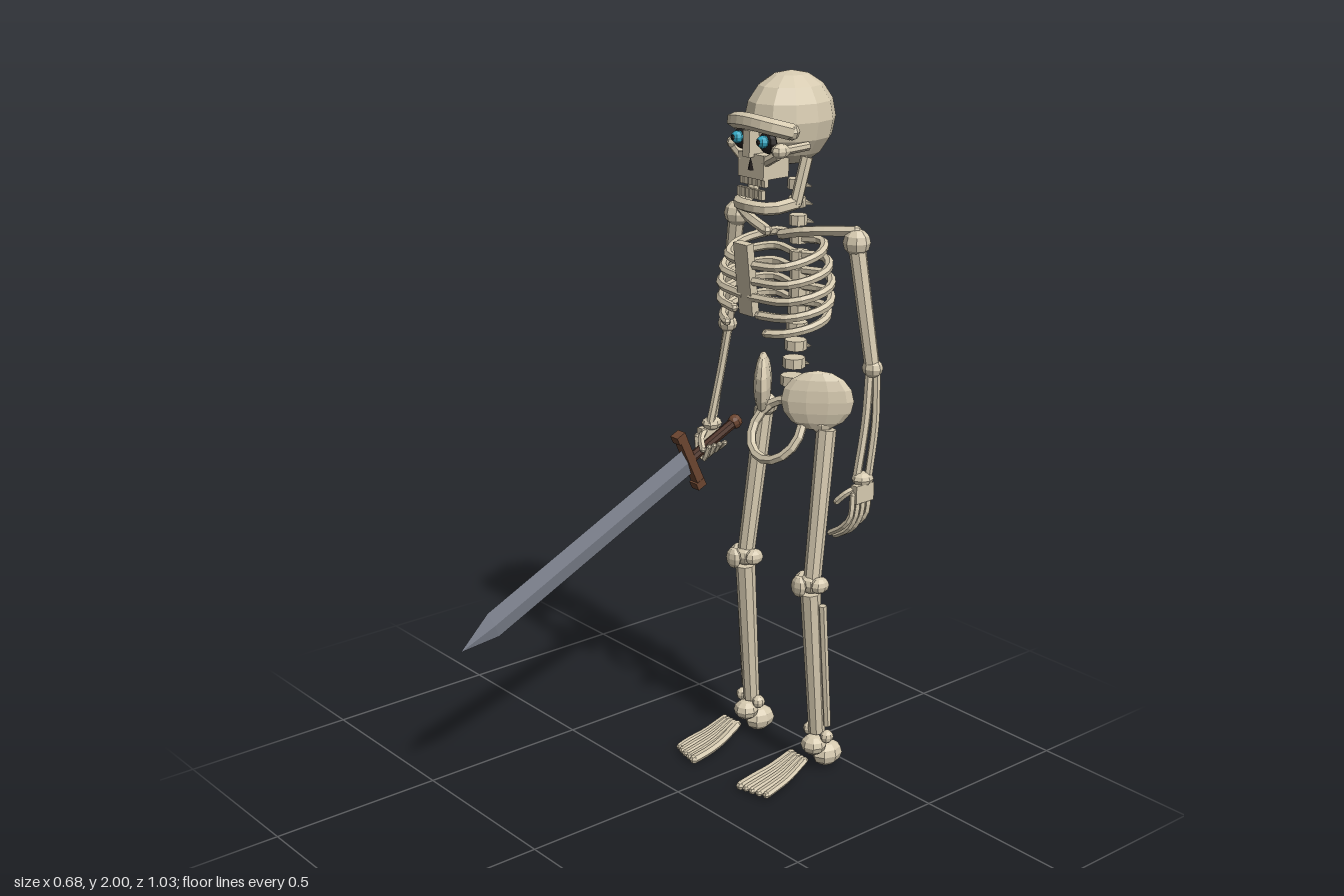
import * as THREE from 'three';

const mat = (name, color, opts = {}) => {
  const m = new THREE.MeshStandardMaterial({ color, flatShading: true, ...opts });
  m.name = name;
  return m;
};
const BONE = mat('bone', 0xd6cab0);
const DARK = mat('socket dark', 0x231f1e);
const EYE = mat('eye blue', 0x35a9c4);
const STEEL = mat('steel', 0x7d828e);
const WOOD = mat('guard brown', 0x6b4530);
const GRIP = mat('grip brown', 0x4a2e22);
const V = (x, y, z) => new THREE.Vector3(x, y, z);

export function createModel() {
  const root = new THREE.Group();
  const add = (parent, name, geo, material = BONE) => {
    const m = new THREE.Mesh(geo, material);
    m.name = name;
    parent.add(m);
    return m;
  };
  const group = (name) => {
    const g = new THREE.Group();
    g.name = name;
    root.add(g);
    return g;
  };
  // Straight shaft between two points
  const shaft = (parent, name, a, b, r0, r1 = r0, sides = 7, material = BONE) => {
    const d = b.clone().sub(a);
    const m = add(parent, name, new THREE.CylinderGeometry(r1, r0, d.length(), sides), material);
    m.position.copy(a).add(b).multiplyScalar(0.5);
    m.quaternion.setFromUnitVectors(V(0, 1, 0), d.normalize());
    return m;
  };
  // Faceted ball or ellipsoid
  const ball = (parent, name, p, rx, ry = rx, rz = rx, material = BONE, ws = 8, hs = 6) => {
    const m = add(parent, name, new THREE.SphereGeometry(1, ws, hs), material);
    m.position.copy(p);
    m.scale.set(rx, ry, rz);
    return m;
  };
  const tube = (parent, name, pts, r, segs = 8, sides = 6) => {
    const g = add(parent, name, new THREE.TubeGeometry(new THREE.CatmullRomCurve3(pts), segs, r, sides));
    for (const p of [pts[0], pts[pts.length - 1]]) ball(g, name + 'End', p, r, r, r, BONE, 6, 4);
    return g;
  };
  const box = (parent, name, p, w, h, d, material = BONE) => {
    const m = add(parent, name, new THREE.BoxGeometry(w, h, d), material);
    m.position.copy(p);
    return m;
  };

  // Skull
  const skull = group('skull');
  ball(skull, 'cranium', V(0, 1.875, -0.385), 0.11, 0.125, 0.132, BONE, 12, 8);
  const brow = tube(skull, 'brow', [V(-0.1, 1.858, -0.3), V(-0.075, 1.872, -0.255), V(0, 1.88, -0.238),
    V(0.075, 1.872, -0.255), V(0.1, 1.858, -0.3)], 0.022, 10);
  brow.scale.z = 1;
  box(skull, 'noseBone', V(0, 1.822, -0.255), 0.026, 0.07, 0.05);
  box(skull, 'upperJaw', V(0, 1.762, -0.292), 0.1, 0.065, 0.09);
  const nose = add(skull, 'noseHole', new THREE.ConeGeometry(0.017, 0.034, 3), DARK);
  nose.position.set(0, 1.768, -0.246);
  nose.scale.z = 0.3;
  for (let i = 0; i < 6; i++) {
    const x = (i - 2.5) * 0.017;
    box(skull, 'upperTooth', V(x, 1.722, -0.26), 0.013, 0.025, 0.014);
    box(skull, 'lowerTooth', V(x, 1.69, -0.25), 0.013, 0.025, 0.014);
  }
  tube(skull, 'lowerJaw', [V(-0.085, 1.665, -0.33), V(-0.065, 1.655, -0.265), V(0, 1.655, -0.243),
    V(0.065, 1.655, -0.265), V(0.085, 1.665, -0.33)], 0.018, 10);
  for (const s of [1, -1]) {
    ball(skull, 'eyeSocket', V(s * 0.05, 1.828, -0.262), 0.034, 0.03, 0.016, DARK);
    ball(skull, 'eye', V(s * 0.05, 1.832, -0.244), 0.018, 0.017, 0.018, EYE);
    ball(skull, 'pupil', V(s * 0.05, 1.832, -0.227), 0.008, 0.008, 0.004, DARK, 6, 4);
    ball(skull, 'cheekbone', V(s * 0.088, 1.81, -0.272), 0.022, 0.02, 0.028);
    shaft(skull, 'cheekArch', V(s * 0.09, 1.81, -0.28), V(s * 0.098, 1.815, -0.36), 0.012);
    shaft(skull, 'cheekRidge', V(s * 0.085, 1.8, -0.265), V(s * 0.04, 1.775, -0.26), 0.014);
    shaft(skull, 'jawBranch', V(s * 0.086, 1.66, -0.33), V(s * 0.092, 1.785, -0.362), 0.017);
  }

  // Spine
  const spine = group('spine');
  for (let i = 0; i < 12; i++) {
    const y = 1.695 - i * 0.05, r = 0.023 + i * 0.0009;
    const z = -0.41 - 0.02 * Math.sin(i * Math.PI / 11);
    shaft(spine, 'vertebra', V(0, y - 0.014, z), V(0, y + 0.014, z), r, r, 8);
    shaft(spine, 'spinousProcess', V(0, y, z - 0.012), V(0, y - 0.016, z - 0.058), 0.013, 0.002, 5);
  }

  // Rib cage
  const cage = group('ribCage');
  const sternum = box(cage, 'breastbone', V(0, 1.46, -0.236), 0.055, 0.2, 0.024);
  sternum.rotation.x = 0.12;
  [0.14, 0.165, 0.178, 0.178, 0.165].forEach((w, i) => {
    const y = 1.545 - i * 0.044, end = i < 3 ? 0.02 : 0.05 + 0.03 * (i - 3);
    for (const s of [1, -1]) {
      tube(cage, 'rib', [V(s * 0.015, y, -0.425), V(s * w * 0.6, y + 0.004, -0.433), V(s * w * 0.95, y - 0.01, -0.385),
        V(s * w, y - 0.025, -0.32), V(s * w * 0.75, y - 0.04, -0.262), V(s * end, y - 0.044, -0.238)], 0.0125, 14);
    }
  });

  // Pelvis
  const pelvis = group('pelvis');
  const ring = add(pelvis, 'pelvicRing', new THREE.TorusGeometry(0.09, 0.014, 6, 16));
  ring.position.set(0, 1.01, -0.355);
  ring.rotation.x = -0.58;
  ball(pelvis, 'sacrum', V(0, 1.08, -0.45), 0.042, 0.075, 0.034).rotation.x = 0.3;
  for (const s of [1, -1]) {
    const wing = ball(pelvis, 'hipWing', V(s * 0.112, 1.112, -0.402), 0.1, 0.086, 0.026, BONE, 10, 8);
    wing.rotation.y = s * Math.PI / 4;
  }

  // Arms and legs, mirrored
  for (const s of [1, -1]) {
    const side = s > 0 ? 'left' : 'right';
    const P = (x, y, z) => V(s * x, y, z);

    const arm = group(side + 'Arm');
    tube(arm, 'collarbone', [P(0.03, 1.572, -0.335), P(0.11, 1.592, -0.345), P(0.235, 1.605, -0.41)], 0.015);
    ball(arm, 'shoulder', P(0.238, 1.575, -0.41), 0.037);
    shaft(arm, 'upperArm', P(0.294, 1.25, -0.425), P(0.24, 1.565, -0.41), 0.021, 0.024);
    ball(arm, 'elbow', P(0.294, 1.242, -0.427), 0.03, 0.026, 0.027);
    tube(arm, 'innerForearm', [P(0.286, 1.235, -0.425), P(0.297, 1.1, -0.405), P(0.303, 0.95, -0.372)], 0.012);
    tube(arm, 'outerForearm', [P(0.303, 1.235, -0.433), P(0.316, 1.1, -0.422), P(0.32, 0.95, -0.398)], 0.011);
    ball(arm, 'wrist', P(0.312, 0.945, -0.385), 0.028, 0.02, 0.032);
    box(arm, 'palm', P(0.32, 0.91, -0.378), 0.022, 0.05, 0.065);
    for (let i = 0; i < 4; i++) {
      const z = -0.402 + i * 0.02, drop = 0.012 * Math.abs(i - 1.5);
      tube(arm, 'finger', s > 0
        ? [P(0.32, 0.91, z), P(0.322, 0.85, z + 0.008), P(0.3, 0.8 + drop, z + 0.014), P(0.255, 0.77 + drop, z + 0.018)]
        : [P(0.328, 0.91, z), P(0.324, 0.872, z), P(0.297, 0.862 - (z + 0.38) * 0.4, z), P(0.273, 0.89, z)], 0.0085, 8, 5);
    }
    tube(arm, 'thumb', [P(0.315, 0.925, -0.36), P(0.3, 0.91, -0.335), P(0.278, 0.885, -0.323)], 0.0095, 6, 5);

    const leg = group(side + 'Leg');
    ball(leg, 'hipJoint', P(0.112, 1.045, -0.42), 0.032);
    shaft(leg, 'thighBone', P(0.14, 0.6, -0.372), P(0.128, 1.03, -0.423), 0.025, 0.028, 8);
    ball(leg, 'knee', P(0.138, 0.59, -0.37), 0.034, 0.03, 0.036);
    ball(leg, 'kneecap', P(0.138, 0.592, -0.322), 0.028, 0.032, 0.016);
    for (const k of [-1, 1]) {
      ball(leg, 'kneeKnob', P(0.138 + k * 0.033, 0.592, -0.372), 0.022, 0.024, 0.03);
      ball(leg, 'ankleKnob', P(0.147 + k * 0.036, 0.118, -0.403), 0.018, 0.02, 0.02);
    }
    shaft(leg, 'shinBone', P(0.142, 0.12, -0.402), P(0.138, 0.56, -0.368), 0.024, 0.029, 8);
    shaft(leg, 'calfBone', P(0.178, 0.15, -0.408), P(0.176, 0.53, -0.38), 0.011, 0.012, 6);

    const foot = group(side + 'Foot');
    ball(foot, 'ankle', P(0.147, 0.085, -0.385), 0.038, 0.03, 0.036);
    ball(foot, 'heel', P(0.147, 0.042, -0.44), 0.038, 0.037, 0.05);
    [0, 1, 2, 3, 4].forEach((i) => {
      const k = i - 2, tip = -0.145 - [0, 0.002, 0.006, 0.012, 0.02][i];
      tube(foot, 'toe', [P(0.147 + k * 0.014, 0.064, -0.325), P(0.147 + k * 0.019, 0.036, -0.255),
        P(0.147 + k * 0.022, 0.024, -0.2), P(0.147 + k * 0.022, 0.015, tip)], i ? 0.0105 : 0.013, 8, 6);
    });
  }

  // Sword, built along +z and then pitched down
  const sword = group('sword');
  sword.position.set(-0.3, 0.855, -0.29);
  sword.rotation.x = 0.435;
  const blade = add(sword, 'blade', new THREE.CylinderGeometry(1, 1, 0.77, 4).rotateX(Math.PI / 2));
  blade.material = STEEL;
  blade.scale.set(0.009, 0.043, 1);
  blade.position.z = 0.385;
  const tip = add(sword, 'bladeTip', new THREE.ConeGeometry(1, 0.12, 4).rotateX(Math.PI / 2), STEEL);
  tip.scale.set(0.009, 0.043, 1);
  tip.position.z = 0.83;
  box(sword, 'crossGuard', V(0, 0, 0), 0.03, 0.19, 0.026, WOOD);
  for (const k of [-1, 1]) box(sword, 'guardEnd', V(0, k * 0.085, 0.003), 0.032, 0.024, 0.032, WOOD);
  shaft(sword, 'grip', V(0, 0, -0.18), V(0, 0, 0), 0.015, 0.015, 8, GRIP);
  ball(sword, 'pommel', V(0, 0, -0.192), 0.022, 0.022, 0.022, WOOD);

  return root;
}
